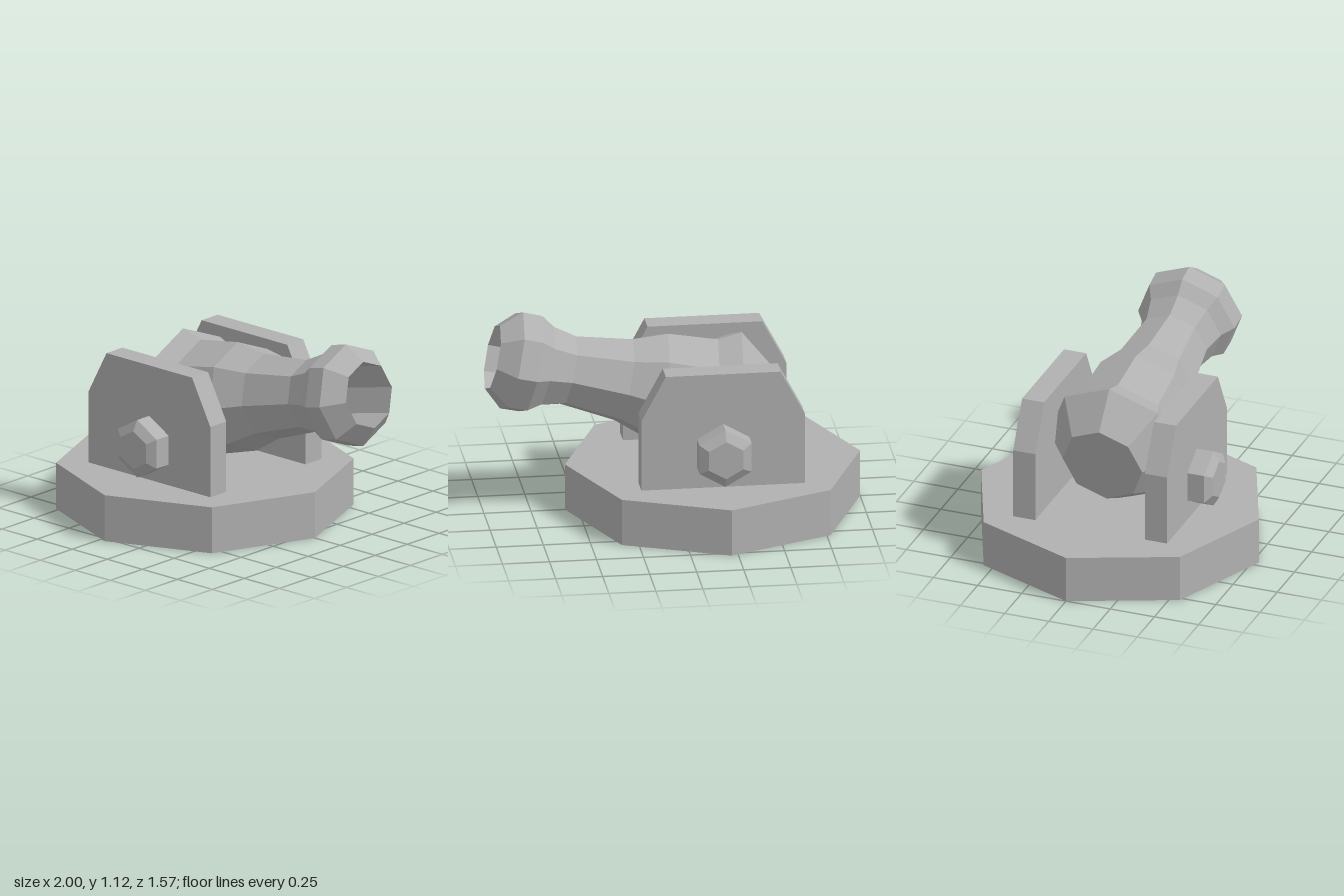
import * as THREE from 'three';

const CENTER_X = -0.215;
const TILT = THREE.MathUtils.degToRad(13.05);

// Split faces so every facet gets its own flat normal
function faceted(geometry) {
  const flat = geometry.index ? geometry.toNonIndexed() : geometry;
  flat.computeVertexNormals();
  return flat;
}

function turned(profile, sides) {
  const points = profile.map(([r, y]) => new THREE.Vector2(r, y));
  return faceted(new THREE.LatheGeometry(points, sides));
}

export function createModel() {
  const model = new THREE.Group();
  model.name = 'cannon';
  const iron = new THREE.MeshStandardMaterial({ color: 0xb0b0b0 });
  iron.name = 'grey iron';

  function add(name, geometry, x, y, z) {
    const mesh = new THREE.Mesh(geometry, iron);
    mesh.name = name;
    mesh.position.set(x, y, z);
    model.add(mesh);
    return mesh;
  }

  // Octagonal base
  const base = faceted(new THREE.CylinderGeometry(0.785, 0.785, 0.255, 8));
  add('base', base, CENTER_X, 0.1275, 0);

  // Barrel: breech, reinforcing ring, tapering tube, flared muzzle and bore
  const barrel = turned([
    [0, -0.261], [0.225, -0.261], [0.372, -0.073], [0.31, 0.041],
    [0.294, 0.309], [0.231, 0.485], [0.193, 0.788], [0.224, 0.916],
    [0.273, 0.991], [0.275, 1.096], [0.18, 1.201], [0.18, 0.495], [0, 0.495],
  ], 8);
  add('barrel', barrel, CENTER_X, 0.609, 0).rotation.z = TILT - Math.PI / 2;

  // Cheek plates with clipped top corners
  const outline = new THREE.Shape([
    [-0.435, 0.25], [0.435, 0.25], [0.435, 0.645],
    [0.305, 0.89], [-0.305, 0.89], [-0.435, 0.645],
  ].map(([x, y]) => new THREE.Vector2(x, y)));
  const cheek = faceted(new THREE.ExtrudeGeometry(outline, { depth: 0.125, bevelEnabled: false }));

  // Chamfered hexagonal bolt heads
  const bolt = turned([[0, 0], [0.16, 0], [0.16, 0.095], [0.105, 0.127], [0, 0.127]], 6);

  for (const side of [1, -1]) {
    const label = side > 0 ? 'front' : 'back';
    add(label + 'Cheek', cheek, CENTER_X, 0, side > 0 ? 0.31 : -0.435);
    add(label + 'Bolt', bolt, CENTER_X, 0.45, side * 0.434).rotation.x = side * Math.PI / 2;
  }

  return model;
}
